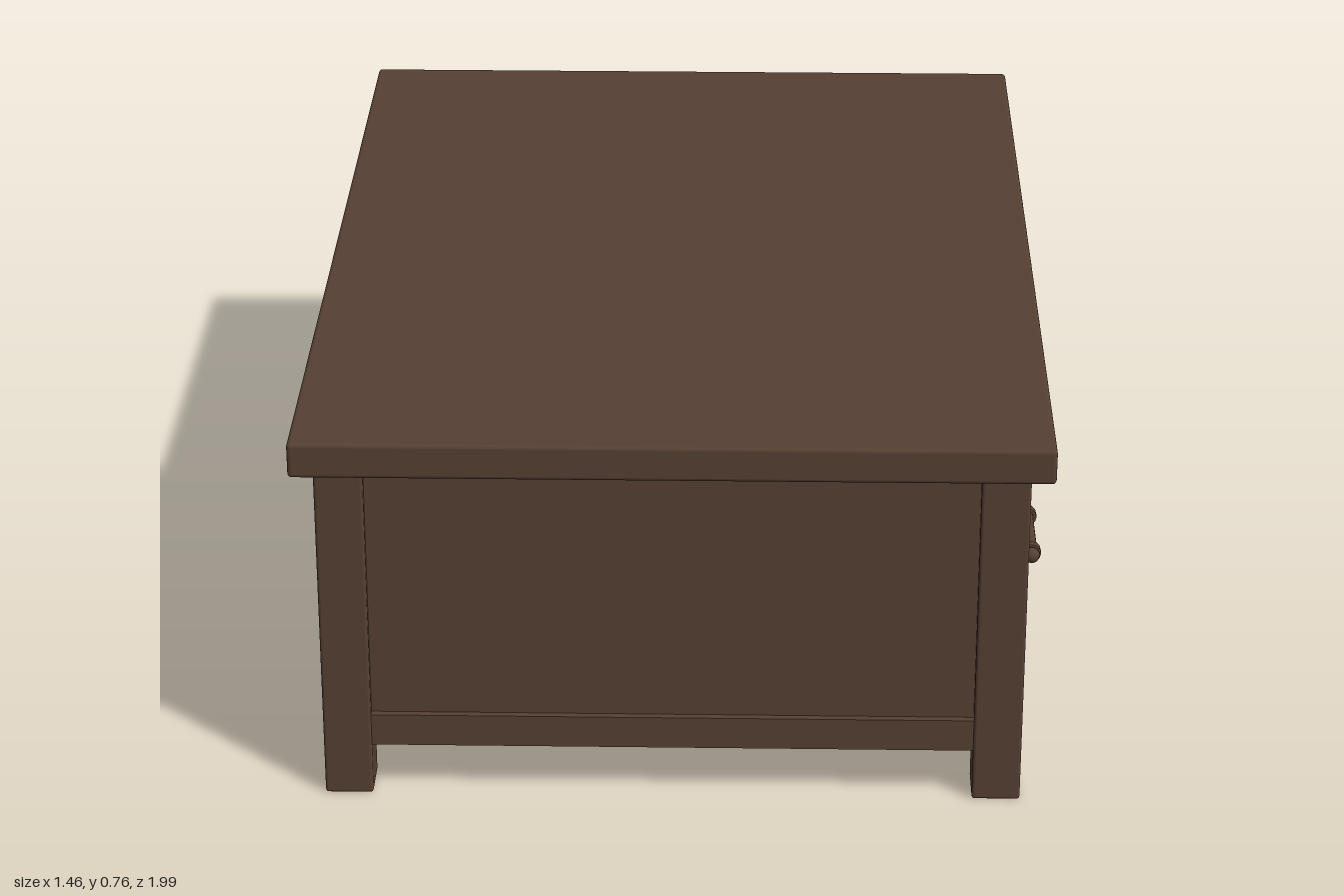
import * as THREE from 'three';
import { RoundedBoxGeometry } from 'three/addons/geometries/RoundedBoxGeometry.js';

export function createModel() {
  const model = new THREE.Group();
  model.name = 'coffeeTable';
  const table = new THREE.Group();
  table.name = 'table';
  table.rotation.y = 0.018; // stands slightly turned
  model.add(table);

  const wood = new THREE.MeshStandardMaterial({ color: 0x554033 });
  wood.name = 'darkWood';

  const add = (name, geometry, x, y, z, parent = table) => {
    const mesh = new THREE.Mesh(geometry, wood);
    mesh.name = name;
    mesh.position.set(x, y, z);
    parent.add(mesh);
    return mesh;
  };
  // Box given by its minimum and maximum along each axis
  const block = (name, x0, x1, y0, y1, z0, z1, bevel = 0) => {
    const size = [x1 - x0, y1 - y0, z1 - z0];
    const geometry = bevel ? new RoundedBoxGeometry(...size, 2, bevel) : new THREE.BoxGeometry(...size);
    return add(name, geometry, (x0 + x1) / 2, (y0 + y1) / 2, (z0 + z1) / 2);
  };

  const W = 0.667, L = 0.95, LEG = 0.092;
  const TOP = 0.69, RAIL = 0.105, PANEL = 0.17;

  // Overhanging top and the closed body
  block('tabletop', -0.71, 0.71, TOP, 0.76, -0.985, 0.985, 0.008);
  block('body', -W + 0.018, W - 0.018, RAIL, TOP, -L + 0.018, L - 0.018);

  // Corner posts and bottom rails
  for (const s of [-1, 1]) {
    for (const t of [-1, 1]) {
      const leg = block('leg', 0, LEG, 0, TOP + 0.005, 0, LEG, 0.006);
      leg.position.x = s * (W - LEG / 2);
      leg.position.z = t * (L - LEG / 2);
    }
    const sideRail = block('sideRail', 0, 0.03, RAIL, PANEL, -L + LEG, L - LEG);
    sideRail.position.x = s * (W - 0.019);
    const endRail = block('endRail', -W + LEG, W - LEG, RAIL, PANEL, 0, 0.03);
    endRail.position.z = s * (L - 0.019);
  }

  // Drawer side: centre divider, fixed upper panels, drawers and pulls
  block('divider', W - 0.04, W - 0.006, PANEL, TOP, -0.015, 0.015);
  for (const s of [-1, 1]) {
    const zIn = 0.02, zOut = L - LEG - 0.005;
    const [z0, z1] = s > 0 ? [zIn, zOut] : [-zOut, -zIn];
    block('upperPanel', W - 0.04, W - 0.013, 0.463, TOP, z0, z1);
    block('drawerFront', W - 0.04, W - 0.007, PANEL + 0.004, 0.457, z0, z1, 0.004);

    const pull = new THREE.Group();
    pull.name = 'drawerPull';
    pull.position.set(W, 0.31, s * 0.43);
    table.add(pull);
    const bar = add('bar', new THREE.CylinderGeometry(0.012, 0.012, 0.18, 12), 0.036, 0, 0, pull);
    bar.rotation.x = Math.PI / 2;
    for (const e of [-1, 1]) {
      const post = add('post', new THREE.CylinderGeometry(0.011, 0.014, 0.046, 12), 0.014, 0, e * 0.08, pull);
      post.rotation.z = -Math.PI / 2;
      const collar = add('collar', new THREE.CylinderGeometry(0.019, 0.019, 0.016, 12), 0.036, 0, e * 0.08, pull);
      collar.rotation.x = Math.PI / 2;
      const knob = add('knob', new THREE.SphereGeometry(0.016, 12, 8), 0.036, 0, e * 0.096, pull);
      knob.scale.z = 0.9;
    }
  }
  return model;
}
